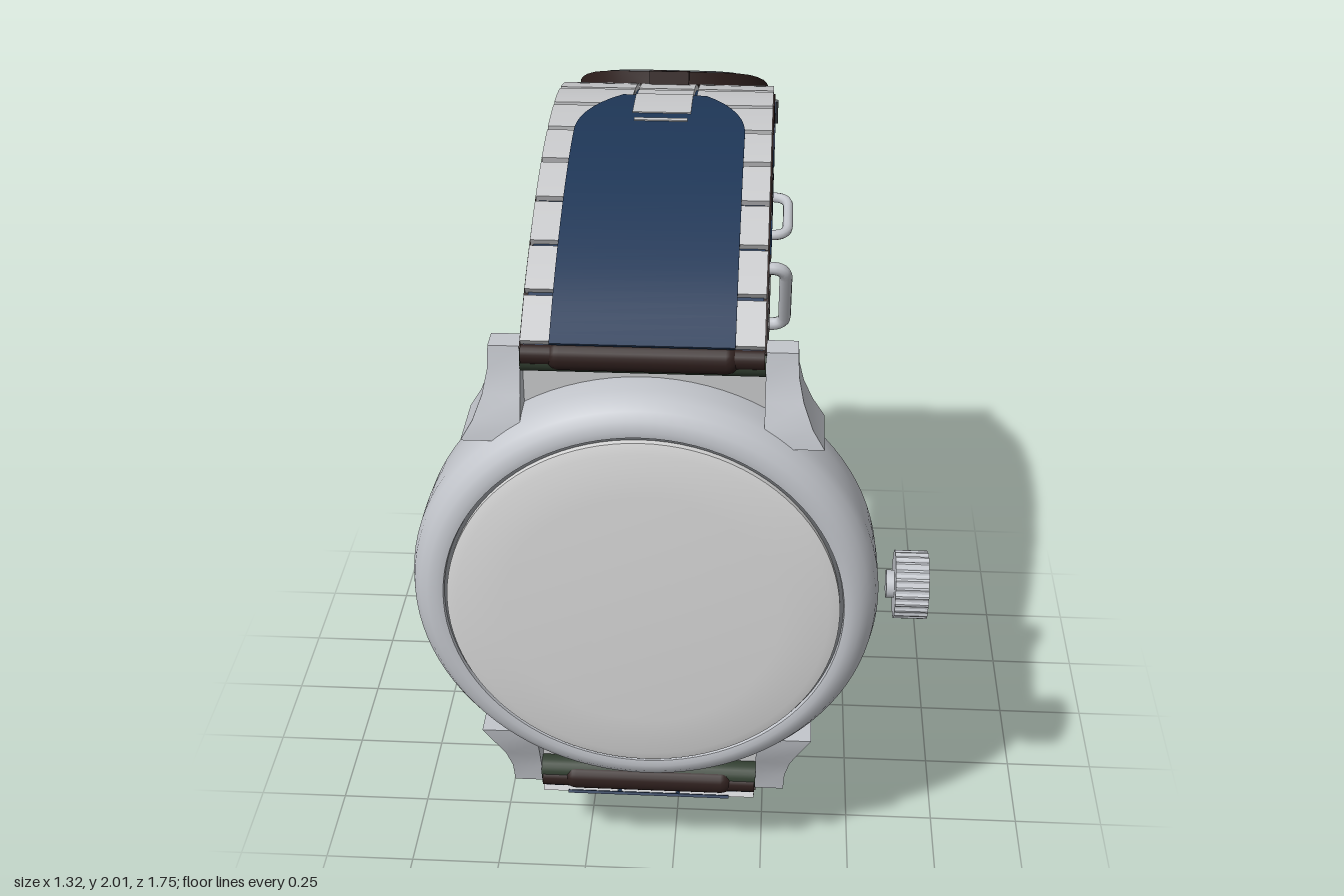
import * as THREE from 'three';
import { mergeGeometries, toCreasedNormals } from 'three/addons/utils/BufferGeometryUtils.js';

const mat = (name, color) => {
  const m = new THREE.MeshStandardMaterial({ color });
  m.name = name;
  return m;
};
const V = (x, y, z) => new THREE.Vector3(x, y, z);
const pathOf = (pts) => new THREE.CatmullRomCurve3(pts.map(([z, y]) => V(0, y, z)), false, 'centripetal');

// Rectangular section swept along a side-view curve; half = half width, lo/hi = offsets outward
function strip(curve, u0, u1, half, lo, hi, xc = 0) {
  const n = Math.max(2, Math.ceil((u1 - u0) * curve.getLength() / 0.03));
  const pos = [], idx = [];
  for (let i = 0; i <= n; i++) {
    const k = i / n, u = u0 + (u1 - u0) * k;
    const p = curve.getPointAt(u), t = curve.getTangentAt(u);
    const h = typeof half === 'function' ? half(k) : half;
    for (const [s, o] of [[1, hi], [-1, hi], [-1, lo], [1, lo]])
      pos.push(xc + s * h, p.y - t.z * o, p.z + t.y * o);
    if (i < n) for (let j = 0; j < 4; j++) {
      const a = i * 4 + j, b = i * 4 + (j + 1) % 4;
      idx.push(a, a + 4, b, b, a + 4, b + 4);
    }
  }
  const e = n * 4;
  idx.push(0, 1, 2, 0, 2, 3, e, e + 2, e + 1, e, e + 3, e + 2);
  const g = new THREE.BufferGeometry();
  g.setAttribute('position', new THREE.Float32BufferAttribute(pos, 3));
  g.setIndex(idx);
  return toCreasedNormals(g, 0.5);
}

export function createModel() {
  const root = new THREE.Group();
  root.name = 'wristwatch';
  const watch = new THREE.Group();
  watch.name = 'watch';
  watch.position.x = -0.065;
  root.add(watch);

  const metal = mat('caseMetal', 0xc3c6cc), face = mat('dialGrey', 0xd8d8d8), steel = mat('strapSteel', 0xc8c9cb);
  const shade = mat('gapGrey', 0x6a6d70), blue = mat('navyBlue', 0x1e3656), brown = mat('darkBrown', 0x2d1e1c);
  const green = mat('darkGreen', 0x334032), slate = mat('slateGrey', 0x505558), thread = mat('thread', 0xdedede);
  const add = (name, geo, m) => {
    const mesh = new THREE.Mesh(geo, m);
    mesh.name = name;
    watch.add(mesh);
    return mesh;
  };
  const CY = 1.01;

  // Case, bezel groove and dial, turned about the z axis
  const turned = (name, pts, m) => {
    const g = new THREE.LatheGeometry(pts.map(([r, z]) => new THREE.Vector2(r, z)), 96);
    add(name, toCreasedNormals(g.rotateX(Math.PI / 2).translate(0, CY, 0), 0.5), m);
  };
  turned('case', [[0, 0.565], [0.51, 0.565], [0.525, 0.585], [0.555, 0.59], [0.58, 0.605], [0.593, 0.635], [0.596, 0.7],
    [0.596, 0.77], [0.588, 0.805], [0.57, 0.83], [0.55, 0.845], [0.525, 0.853], [0.508, 0.85], [0.505, 0.835]], metal);
  turned('bezelGroove', [[0.51, 0.84], [0.49, 0.84]], shade);
  turned('dial', [[0.497, 0.83], [0.497, 0.856], [0.47, 0.864], [0.35, 0.871], [0.18, 0.876], [0, 0.878]], face);

  // Flared lugs: rows of [distance from centre, outer x, back z, front z]
  const rows = [[0.69, 0.372, 0.68, 0.742], [0.63, 0.375, 0.675, 0.752], [0.57, 0.388, 0.66, 0.772],
    [0.51, 0.412, 0.645, 0.797], [0.46, 0.442, 0.64, 0.806]];
  for (const sx of [-1, 1]) for (const sy of [-1, 1]) {
    const g = new THREE.BoxGeometry(1, 1, 1, 1, 4, 1), p = g.attributes.position;
    for (let i = 0; i < p.count; i++) {
      const fx = p.getX(i) * sx + 0.5;
      const [d, ox, z0, z1] = rows[Math.round((0.5 - p.getY(i) * sy) * 4)];
      p.setXYZ(i, sx * (0.295 + (ox - 0.295) * fx), CY + sy * d, z0 + (z1 - z0) * (p.getZ(i) + 0.5));
    }
    g.deleteAttribute('normal');
    g.deleteAttribute('uv');
    add('lug', toCreasedNormals(g, 0.5), metal);
  }

  // End pieces and wrapped spring bars between the lugs
  for (const s of [-1, 1]) {
    add('endPiece', new THREE.BoxGeometry(0.59, 0.16, 0.06).translate(0, CY + s * 0.55, 0.68), steel);
    const bar = new THREE.CylinderGeometry(0.036, 0.036, 0.59, 20).rotateZ(Math.PI / 2);
    add('greenBarWrap', bar.translate(0, CY + s * 0.655, 0.725), green);
    const core = new THREE.CylinderGeometry(0.027, 0.027, 0.584, 20).rotateZ(Math.PI / 2);
    add('brownBarCore', core.translate(0, CY + s * 0.671, 0.741), brown);
    const wrap = new THREE.CapsuleGeometry(0.038, 0.4, 6, 20).rotateZ(Math.PI / 2);
    add('brownBarWrap', wrap.translate(0, CY + s * 0.668, 0.737), brown);
  }

  // Ribbed crown
  const gear = new THREE.Shape();
  for (let i = 0; i < 96; i++) {
    const a = i / 96 * Math.PI * 2, r = i % 4 < 2 ? 0.088 : 0.084;
    gear[i ? 'lineTo' : 'moveTo'](r * Math.cos(a), r * Math.sin(a));
  }
  const crown = new THREE.ExtrudeGeometry(gear, { depth: 0.085, bevelEnabled: false });
  add('crown', crown.rotateY(Math.PI / 2).translate(0.638, CY, 0.71), metal);
  add('crownStem', new THREE.CylinderGeometry(0.036, 0.036, 0.025, 24).rotateZ(Math.PI / 2).translate(0.63, CY, 0.71), metal);

  // Pass-through band behind the case
  const loop = pathOf([[0.7, 1.64], [0.65, 1.62], [0.58, 1.62], [0.545, 1.605], [0.533, 1.57], [0.533, 1.3], [0.533, 0.72],
    [0.533, 0.45], [0.545, 0.415], [0.58, 0.395], [0.65, 0.395], [0.7, 0.38]]);
  add('greenBackBand', strip(loop, 0, 1, 0.293, -0.015, 0.015), green);

  // Main strap path, from the upper lugs over the back to the lower lugs
  const path = pathOf([[0.73, 1.67], [0.56, 1.778], [0.3, 1.89], [0.08, 1.938], [-0.15, 1.94], [-0.38, 1.87], [-0.58, 1.7],
    [-0.7, 1.5], [-0.745, 1.35], [-0.77, 1.1], [-0.765, 0.92], [-0.735, 0.73], [-0.655, 0.515], [-0.53, 0.32],
    [-0.345, 0.165], [-0.13, 0.077], [0.14, 0.066], [0.35, 0.112], [0.56, 0.228], [0.73, 0.345]]);
  const samples = path.getSpacedPoints(600);
  const at = (z, y) => {
    let best = 0;
    samples.forEach((p, i) => { if (Math.hypot(p.z - z, p.y - y) < Math.hypot(samples[best].z - z, samples[best].y - y)) best = i; });
    return best / 600;
  };
  const lay = (name, u0, u1, half, lo, hi, m) => add(name, strip(path, u0, u1, half, lo, hi), m);
  lay('strapCore', 0, 1, 0.294, -0.03, 0.026, steel);
  lay('brownLayer', 0, 1, 0.296, 0.026, 0.034, brown);
  lay('blueLayer', 0, 1, 0.285, 0.034, 0.04, blue);

  // Three columns of links
  const links = [], count = 31;
  for (let i = 0; i < count; i++) for (const [x, h] of [[-0.189, 0.103], [0, 0.076], [0.189, 0.103]])
    links.push(strip(path, (i + 0.06) / count, (i + 0.94) / count, h, 0.036, 0.056, x));
  add('links', mergeGeometries(links), steel);

  // Blue panels on both strap halves, narrowing toward their tips
  const taper = (k) => k < 0.76 ? 0.222 : 0.222 - 0.11 * ((k - 0.76) / 0.24) ** 2;
  const uTop = at(-0.11, 1.945), uLow = at(-0.38, 0.19), du = 0.028;
  lay('upperBluePanel', 0, uTop, taper, 0.052, 0.06, blue);
  lay('lowerBluePanel', uLow, 1, (k) => taper(1 - k), 0.052, 0.06, blue);
  lay('upperCentreLink', uTop - du, uTop, 0.077, 0.054, 0.063, steel);
  lay('lowerCentreLink', uLow, uLow + du, 0.077, 0.054, 0.063, steel);
  lay('upperSlot', uTop - 0.038, uTop - 0.035, 0.07, 0.054, 0.063, steel);
  lay('lowerSlot', uLow + 0.035, uLow + 0.038, 0.07, 0.054, 0.063, steel);

  // Overlapping tail with a rounded tip and banded outer face
  const t0 = at(-0.29, 1.9), t1 = at(-0.77, 1.0), span = t1 - t0;
  const round = (w) => (k) => w * Math.sqrt(Math.max(0.03, 1 - Math.max(0, 1 - k / 0.2) ** 2));
  lay('greenUnderlay', at(-0.5, 1.77), t1, 0.29, 0.03, 0.062, green);
  lay('tail', t0, t1, round(0.275), 0.055, 0.09, brown);
  lay('tailTip', t0 - 0.005, t0 + 0.005, 0.055, 0.055, 0.092, brown);
  lay('tailFace', t0 + span * 0.015, t1, round(0.248), 0.088, 0.094, slate);
  for (const [a, b] of [[0.17, 0.18], [0.23, 0.245], [0.31, 0.325], [0.47, 0.53], [0.545, 0.68], [0.74, 0.81], [0.86, 0.97]])
    lay('tailBlueBand', t0 + span * a, t0 + span * b, 0.246, 0.092, 0.096, blue);

  // Round strap holes
  for (const k of [0.27, 0.55, 0.84]) {
    const p = path.getPointAt(t0 + span * k), t = path.getTangentAt(t0 + span * k);
    const normal = V(0, -t.z, t.y);
    const hole = add('strapHole', new THREE.CylinderGeometry(0.02, 0.02, 0.008, 20), thread);
    hole.position.copy(p).addScaledVector(normal, 0.094);
    hole.quaternion.setFromUnitVectors(V(0, 1, 0), normal);
  }

  // Dashed stitching
  const stitches = (name, u0, u1, x, lo, hi, n) => {
    const parts = [];
    for (let i = 0; i < n; i++) for (const s of [-1, 1]) {
      const u = u0 + (u1 - u0) * i / n;
      parts.push(strip(path, u, u + (u1 - u0) * 0.6 / n, 0.004, lo, hi, s * x));
    }
    add(name, mergeGeometries(parts), thread);
  };
  stitches('tailStitching', t0 + span * 0.24, t1, 0.232, 0.092, 0.098, 20);

  // Leather lining on the lower inside
  const p0 = at(-0.74, 0.74), p1 = at(-0.27, 0.13);
  lay('innerLining', p0, p1, 0.255, -0.06, -0.028, brown);
  stitches('liningStitching', p0 + 0.012, p1 - 0.012, 0.225, -0.063, -0.058, 15);
  const rowParts = [];
  for (const u of [p0 + 0.01, p1 - 0.013]) for (let i = -4; i <= 4; i++)
    rowParts.push(strip(path, u, u + 0.002, 0.014, -0.063, -0.058, i * 0.048));
  add('liningEndStitching', mergeGeometries(rowParts), thread);

  // Inner clasp flap and plates
  const f0 = at(-0.68, 1.54), f1 = at(-0.77, 1.13), fs = f1 - f0;
  lay('claspBody', f0, f1, 0.285, -0.095, -0.03, steel);
  lay('claspLeather', f0 + 0.004, f1 - 0.004, 0.275, -0.15, -0.095, brown);
  lay('claspFace', f0 + fs * 0.1, f1 - fs * 0.08, 0.25, -0.154, -0.148, slate);
  lay('claspBlueBand', f0 + fs * 0.6, f1 - fs * 0.1, 0.248, -0.157, -0.152, blue);
  lay('claspPlate', at(-0.765, 1.25), at(-0.765, 0.88), 0.292, -0.08, -0.03, steel);
  lay('bucklePlate', t1 - 0.005, t1 + 0.03, 0.292, 0.05, 0.064, steel);

  // Strap keepers
  const k1 = at(-0.61, 1.66), k2 = at(-0.74, 1.375);
  lay('upperKeeper', k1 - 0.012, k1 + 0.012, 0.298, -0.05, 0.112, blue);
  lay('upperKeeperFace', k1 - 0.012, k1 + 0.012, 0.305, 0.112, 0.119, slate);
  lay('lowerKeeperOuter', k2 - 0.013, k2 + 0.013, 0.297, 0.055, 0.122, blue);
  lay('lowerKeeperInner', k2 - 0.011, k2 + 0.011, 0.297, -0.16, -0.09, blue);

  // Wire loop and buckle frame: rounded rectangles between two side-view points
  const frame = (name, [za, ya], [zb, yb], w, c, r) => {
    const len = Math.hypot(zb - za, yb - ya);
    const outline = new THREE.Shape().moveTo(0, 0).lineTo(w - c, 0);
    outline.quadraticCurveTo(w, 0, w, c).lineTo(w, len - c).quadraticCurveTo(w, len, w - c, len);
    outline.lineTo(c - w, len).quadraticCurveTo(-w, len, -w, len - c).lineTo(-w, c);
    outline.quadraticCurveTo(-w, 0, c - w, 0).lineTo(0, 0);
    const pts = outline.getSpacedPoints(80).slice(0, 80)
      .map((p) => V(p.x, ya + (yb - ya) * p.y / len, za + (zb - za) * p.y / len));
    add(name, new THREE.TubeGeometry(new THREE.CatmullRomCurve3(pts, true), 160, r, 10, true), metal);
  };
  frame('wireLoop', [-0.62, 1.355], [-0.835, 1.385], 0.345, 0.05, 0.016);
  frame('buckleFrame', [-0.7, 1.2], [-0.848, 0.92], 0.345, 0.05, 0.021);
  const pin = new THREE.LineCurve3(V(0, 1.06, -0.862), V(0, 0.9, -0.858));
  add('bucklePin', new THREE.TubeGeometry(pin, 4, 0.014, 10), metal);

  return root;
}
